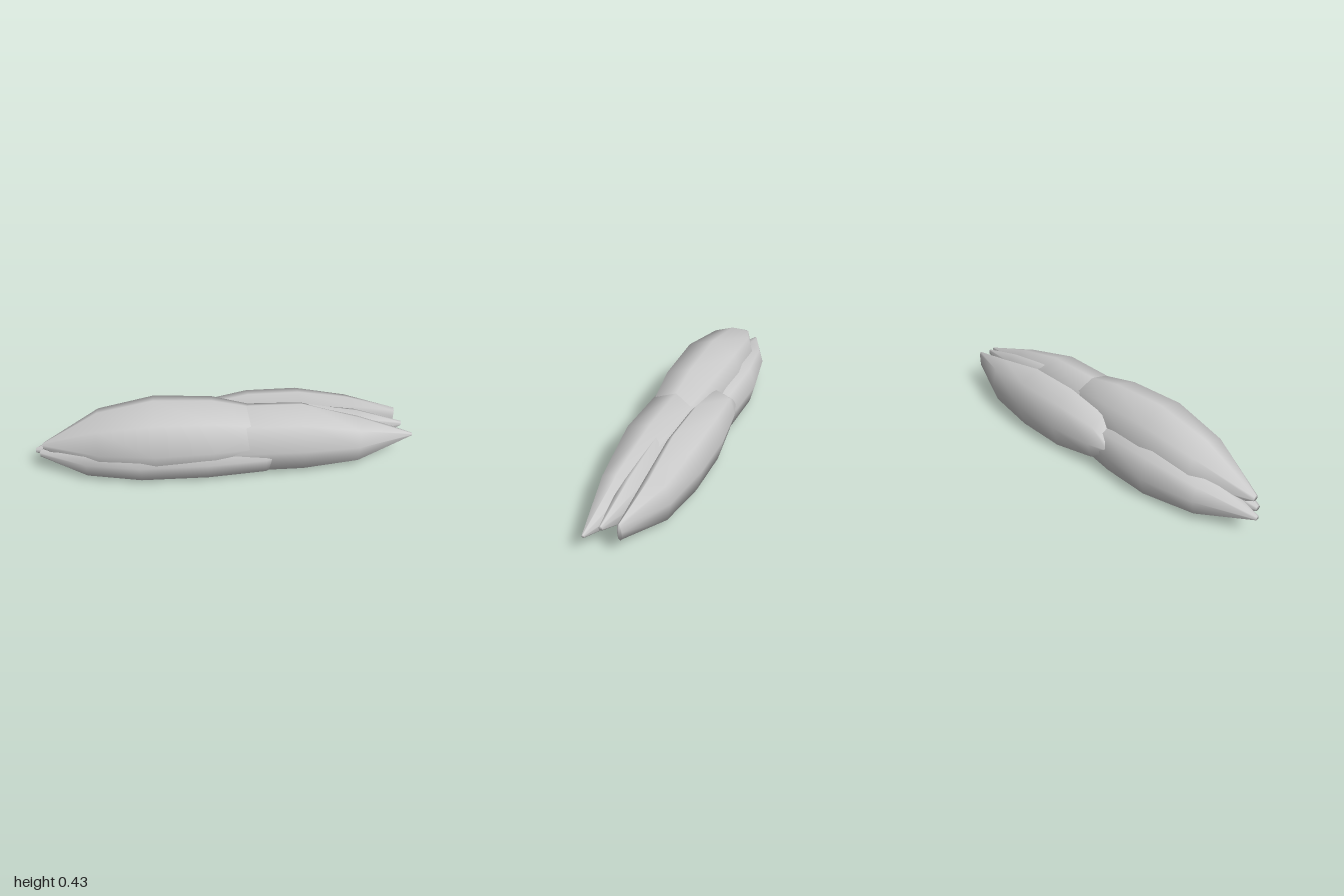
import * as THREE from 'three';

const SIDES = 8;

// Spindle lofted along x from sections [x, yBottom, yMid, yTop, zBack, zMid, zFront]
function spindle(name, sections, material) {
  const pos = [], idx = [];
  for (const [x, y0, ym, y1, z0, zm, z1] of sections) {
    for (let i = 0; i < SIDES; i++) {
      const a = (i / SIDES) * Math.PI * 2;
      const c = Math.cos(a), s = Math.sin(a);
      // the lower corners are a little fuller than the upper ones
      const full = i % 2 === 0 ? 1 : c < 0 ? 1.12 : 1.04;
      pos.push(x,
        ym + c * full * (c > 0 ? y1 - ym : ym - y0),
        zm + s * full * (s > 0 ? z1 - zm : zm - z0));
    }
  }
  const last = sections.length - 1;
  for (let r = 0; r < last; r++) {
    for (let i = 0; i < SIDES; i++) {
      const j = (i + 1) % SIDES;
      const a = r * SIDES + i, b = r * SIDES + j;
      idx.push(a, b, b + SIDES, a, b + SIDES, a + SIDES);
    }
  }
  // close both tips
  for (let i = 1; i < SIDES - 1; i++) {
    idx.push(0, i + 1, i);
    idx.push(last * SIDES, last * SIDES + i, last * SIDES + i + 1);
  }
  const geo = new THREE.BufferGeometry();
  geo.setAttribute('position', new THREE.Float32BufferAttribute(pos, 3));
  geo.setIndex(idx);
  geo.computeVertexNormals();
  const mesh = new THREE.Mesh(geo, material);
  mesh.name = name;
  return mesh;
}

export function createModel() {
  const group = new THREE.Group();
  group.name = 'spindleCluster';
  const grey = new THREE.MeshStandardMaterial({ color: 0xcccccc, side: THREE.DoubleSide });
  grey.name = 'paleGrey';

  const lobes = {
    // large upper lobe at the -x end
    upperLobe: [
      [-0.95, 0.17, 0.18, 0.2, 0.04, 0.055, 0.07],
      [-0.66, 0.05, 0.2, 0.365, -0.1, 0.04, 0.185],
      [-0.37, 0.01, 0.21, 0.425, -0.135, 0.04, 0.235],
      [-0.07, 0.01, 0.21, 0.408, -0.12, 0.04, 0.225],
      [0.12, 0.03, 0.2, 0.36, -0.08, 0.04, 0.195],
      [0.42, 0.14, 0.18, 0.22, 0, 0.04, 0.08],
    ],
    // long front lobe at the +x end
    frontLobe: [
      [-0.45, 0.13, 0.17, 0.2, 0, 0.04, 0.1],
      [-0.1, 0.01, 0.17, 0.34, -0.08, 0.04, 0.195],
      [0.12, 0.003, 0.175, 0.365, -0.085, 0.04, 0.205],
      [0.4, 0.005, 0.175, 0.36, -0.075, 0.04, 0.21],
      [0.7, 0.022, 0.15, 0.27, -0.04, 0.06, 0.165],
      [1, 0.14, 0.147, 0.155, 0.06, 0.067, 0.074],
    ],
    // rear lobe at the +x end
    rearLobe: [
      [-0.2, 0.14, 0.17, 0.2, -0.17, -0.12, -0.08],
      [-0.1, 0.05, 0.17, 0.3, -0.205, -0.09, -0.05],
      [0.13, 0.003, 0.17, 0.345, -0.237, -0.09, -0.04],
      [0.4, 0.003, 0.17, 0.345, -0.238, -0.09, -0.04],
      [0.67, 0.03, 0.165, 0.29, -0.2, -0.1, -0.05],
      [0.93, 0.12, 0.17, 0.22, -0.09, -0.08, -0.065],
    ],
    // low rear lobe at the -x end
    lowRearLobe: [
      [-1, 0.11, 0.12, 0.135, 0, 0.01, 0.02],
      [-0.73, 0.03, 0.14, 0.24, -0.135, -0.04, 0.07],
      [-0.45, 0.003, 0.14, 0.29, -0.19, -0.06, 0.08],
      [-0.2, 0.003, 0.14, 0.28, -0.183, -0.06, 0.08],
      [0.1, 0.02, 0.14, 0.23, -0.14, -0.06, 0.06],
      [0.4, 0.12, 0.15, 0.18, -0.1, -0.07, -0.04],
    ],
    // low front lobe at the -x end
    lowFrontLobe: [
      [-0.97, 0.12, 0.135, 0.15, 0.04, 0.05, 0.07],
      [-0.73, 0.025, 0.13, 0.22, -0.03, 0.07, 0.17],
      [-0.45, 0.003, 0.13, 0.25, -0.06, 0.07, 0.222],
      [-0.1, 0, 0.13, 0.25, -0.06, 0.07, 0.225],
      [0.2, 0.01, 0.13, 0.2, -0.03, 0.07, 0.205],
      [0.45, 0.1, 0.13, 0.16, 0.03, 0.08, 0.12],
    ],
    // inner lobe wedged between the two +x lobes
    innerLobe: [
      [-0.1, 0.1, 0.17, 0.24, -0.06, -0.02, 0.02],
      [0.2, 0.005, 0.17, 0.33, -0.08, -0.01, 0.06],
      [0.45, 0.005, 0.17, 0.32, -0.08, -0.01, 0.06],
      [0.7, 0.035, 0.165, 0.27, -0.075, -0.005, 0.05],
      [0.95, 0.165, 0.175, 0.19, -0.005, 0.003, 0.015],
    ],
  };
  for (const [name, sections] of Object.entries(lobes)) {
    group.add(spindle(name, sections, grey));
  }
  return group;
}
